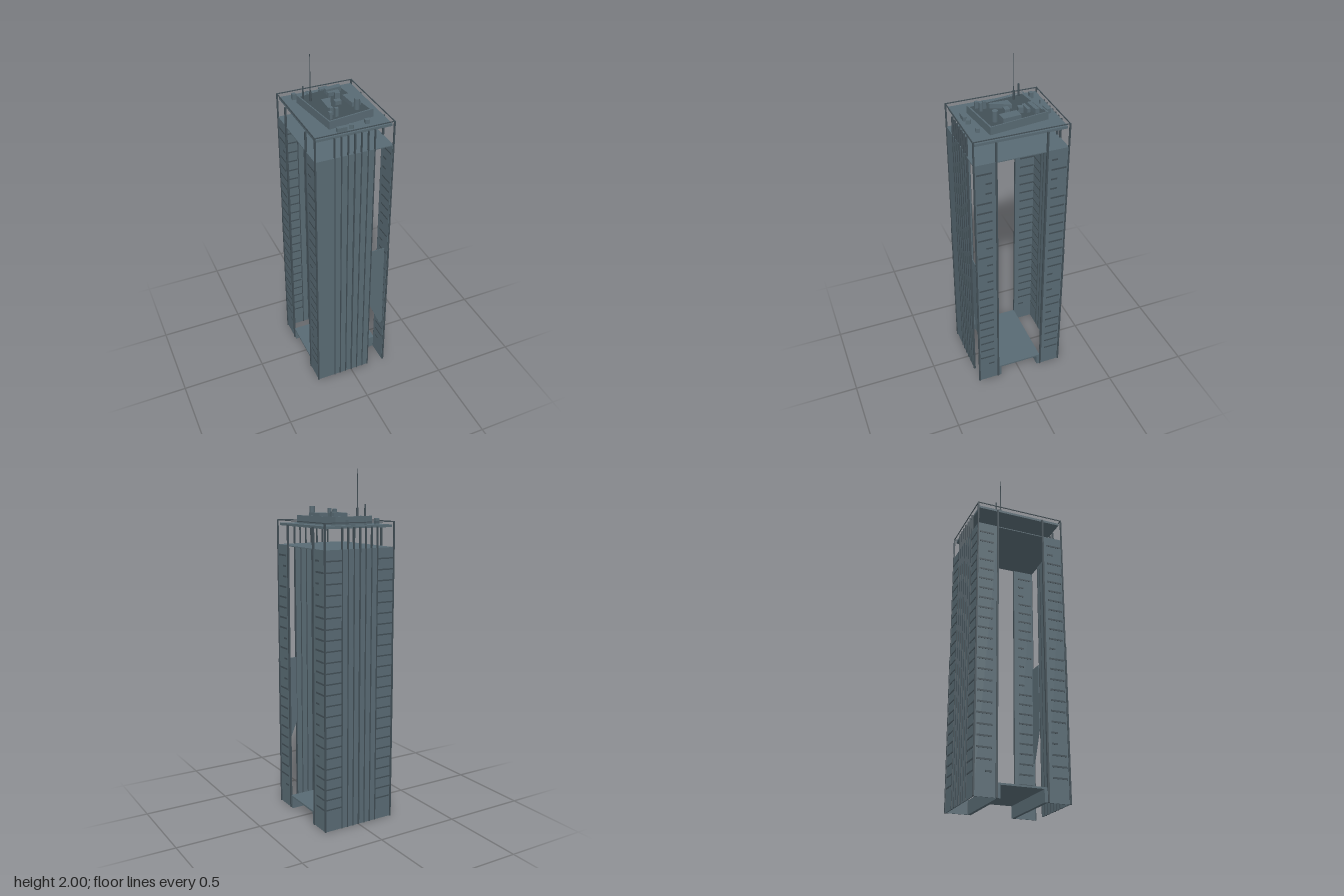
import * as THREE from 'three';

const facade = new THREE.MeshStandardMaterial({ color: 0x586a73 });
facade.name = 'slate facade';
const trim = new THREE.MeshStandardMaterial({ color: 0x424f56 });
trim.name = 'dark trim';

const X = 0.22, Z = 0.264, TOP = 1.58, SLAB = 1.695;

export function createModel() {
  const root = new THREE.Group();
  root.name = 'tower';
  const group = (name) => {
    const g = new THREE.Group();
    g.name = name;
    root.add(g);
    return g;
  };
  const add = (parent, name, geo, mat) => {
    const m = new THREE.Mesh(geo, mat);
    m.name = name;
    parent.add(m);
    return m;
  };
  // Box given by its min and max on each axis
  const box = (parent, name, x0, x1, y0, y1, z0, z1, mat = facade) => {
    const m = add(parent, name, new THREE.BoxGeometry(x1 - x0, y1 - y0, z1 - z0), mat);
    m.position.set((x0 + x1) / 2, (y0 + y1) / 2, (z0 + z1) / 2);
    return m;
  };
  // Prism from a plan outline of [x, z] points
  const prism = (parent, name, pts, y0, y1, mat, hole) => {
    const toV = ([x, z]) => new THREE.Vector2(x, -z);
    const s = new THREE.Shape(pts.map(toV));
    if (hole) s.holes.push(new THREE.Path(hole.map(toV)));
    const geo = new THREE.ExtrudeGeometry(s, { depth: y1 - y0, bevelEnabled: false });
    geo.rotateX(-Math.PI / 2);
    add(parent, name, geo, mat).position.y = y0;
  };
  let seed = 7;
  const rnd = () => (seed = (seed * 16807) % 2147483647) / 2147483647;

  // Walls: open middle on both sides, open bay at the front left corner
  const walls = group('walls');
  box(walls, 'frontWall', -X, 0.115, 0, TOP, Z - 0.006, Z);
  box(walls, 'backWall', -X, X, 0, TOP, -Z, -Z + 0.006);
  for (const sx of [-1, 1]) for (const sz of [-1, 1]) {
    const w = box(walls, 'sideWall', -0.003, 0.003, 0, TOP, -0.062, 0.062);
    w.position.set(sx * (X - 0.003), TOP / 2, sz * 0.202);
  }
  box(walls, 'bodyTop', -X, X, TOP - 0.005, TOP, -Z, Z);

  // Remaining panel in the open front bay
  const frag = new THREE.Shape([[0.115, 0.9], [0.115, 0.5], [0.19, 0.32], [0.208, 0.32], [0.2, 0.9]]
    .map(([x, y]) => new THREE.Vector2(x, y)));
  add(walls, 'bayPanel', new THREE.ExtrudeGeometry(frag, { depth: 0.004, bevelEnabled: false }), facade)
    .position.z = Z - 0.012;

  // Floor ribs on the corner bays
  const ribs = group('floorRibs');
  for (let i = 0; i < 24; i++) {
    const y = 0.13 + i * 0.0605;
    for (const sx of [-1, 1]) {
      const back = box(ribs, 'backRib', -0.05, 0.05, y - 0.004, y + 0.004, -0.005, 0.005, trim);
      back.position.x = sx * 0.167;
      back.position.z = -Z + 0.003;
      for (const sz of [-1, 1]) {
        const len = rnd() < 0.25 ? 0.035 : 0.085;
        const r = box(ribs, 'sideRib', -0.005, 0.005, y - 0.005, y + 0.005, -len / 2, len / 2, trim);
        r.position.x = sx * (X - 0.003);
        r.position.z = sz * (0.168 + len / 2);
      }
    }
  }

  // Vertical mullions on front and back, running up to the roof slab
  const mullions = group('mullions');
  for (const sz of [-1, 1]) for (let i = -3; i <= 3; i++) {
    const w = i === 0 ? 0.004 : 0.0028;
    const m = box(mullions, 'mullion', -w, w, 0, SLAB, -0.006, 0.006, trim);
    m.position.x = i * 0.0375;
    m.position.z = sz * (Z - 0.002);
  }

  // Corner posts, lower casings and posts beside the side openings
  const posts = group('posts');
  for (const sx of [-1, 1]) for (const sz of [-1, 1]) {
    const c = box(posts, 'cornerPost', -0.004, 0.004, 0, 1.72, -0.004, 0.004, trim);
    c.position.x = sx * X;
    c.position.z = sz * Z;
    const k = box(posts, 'lowerCasing', -0.003, 0.003, 0, 0.9, -0.003, 0.003, trim);
    k.position.x = sx * (X + 0.002);
    k.position.z = sz * (Z + 0.003);
    const o = box(posts, 'openingPost', -0.005, 0.005, 0, SLAB, -0.005, 0.005, trim);
    o.position.x = sx * X;
    o.position.z = sz * 0.142;
  }

  // Raised lobby floor with its side walls
  const lobby = group('lobby');
  box(lobby, 'lobbyFloor', -X, X, 0.068, 0.078, -0.138, 0.138);
  for (const sz of [-1, 1]) {
    box(lobby, 'lobbyWall', -X, X, 0, 0.07, -0.009, 0.009).position.z = sz * 0.129;
  }

  // Roof slab and perimeter rail
  const roof = group('roof');
  box(roof, 'roofSlab', -0.212, 0.212, 1.688, 1.702, -0.254, 0.254);
  for (const s of [-1, 1]) {
    box(roof, 'roofRail', -X, X, 1.716, 1.721, -0.002, 0.002, trim).position.z = s * Z;
    box(roof, 'roofRail', -0.002, 0.002, 1.716, 1.721, -Z, Z, trim).position.x = s * X;
  }

  // Penthouse, turned slightly against the tower, with a low parapet
  const pent = group('penthouse');
  const outline = [[-0.15, -0.153], [0.11, -0.19], [0.156, 0.148], [-0.107, 0.183]];
  const inset = outline.map(([x, z]) => [0.002 + (x - 0.002) * 0.95, z * 0.95]);
  prism(pent, 'penthouseBody', inset, 1.702, 1.738, trim);
  prism(pent, 'parapet', outline, 1.702, 1.747, facade, inset);

  // Rooftop equipment: x, z, width, depth, turn, bottom, top
  const plant = group('equipment');
  const units = [
    [0.048, -0.13, 0.09, 0.024, 0.1, 1.735, 1.765],
    [0.035, -0.095, 0.065, 0.018, 0.08, 1.735, 1.76],
    [0.043, -0.06, 0.028, 0.028, -0.2, 1.735, 1.77],
    [0.016, 0.007, 0.036, 0.028, 0, 1.735, 1.76],
    [0.093, 0.017, 0.055, 0.102, 0.08, 1.735, 1.763],
    [-0.063, 0.102, 0.019, 0.018, 0.1, 1.735, 1.78],
    [-0.043, 0.127, 0.017, 0.017, -0.1, 1.735, 1.785],
    [-0.081, 0.138, 0.016, 0.02, 0, 1.735, 1.775],
    [-0.148, -0.2, 0.022, 0.022, 0, 1.7, 1.735],
    [-0.065, -0.218, 0.01, 0.006, 0, 1.7, 1.725],
    [0.03, -0.215, 0.05, 0.024, 0.08, 1.7, 1.73],
    [-0.055, 0.219, 0.054, 0.022, 0, 1.7, 1.725],
    [0, 0.212, 0.022, 0.022, -0.5, 1.7, 1.725],
    [0.097, 0.196, 0.025, 0.022, -0.2, 1.7, 1.725],
  ];
  for (const [x, z, w, d, turn, y0, y1] of units) {
    const u = box(plant, 'roofUnit', -w / 2, w / 2, y0, y1, -d / 2, d / 2);
    u.position.x = x;
    u.position.z = z;
    u.rotation.y = turn;
  }
  prism(plant, 'wedgeUnit', [[-0.061, -0.03], [-0.007, -0.032], [-0.05, 0.076], [-0.065, 0.078]], 1.735, 1.762, facade);

  // Round vent, antenna and short pole
  const tube = (name, x, z, r0, r1, y0, y1, mat) =>
    add(plant, name, new THREE.CylinderGeometry(r1, r0, y1 - y0, 8), mat).position.set(x, (y0 + y1) / 2, z);
  tube('roundVent', 0.086, 0.097, 0.016, 0.016, 1.735, 1.797, facade);
  tube('antennaBase', -0.1, -0.08, 0.008, 0.006, 1.735, 1.79, trim);
  tube('antenna', -0.1, -0.08, 0.003, 0.0015, 1.78, 2, trim);
  tube('shortPole', -0.127, -0.118, 0.006, 0.005, 1.735, 1.81, trim);

  return root;
}
